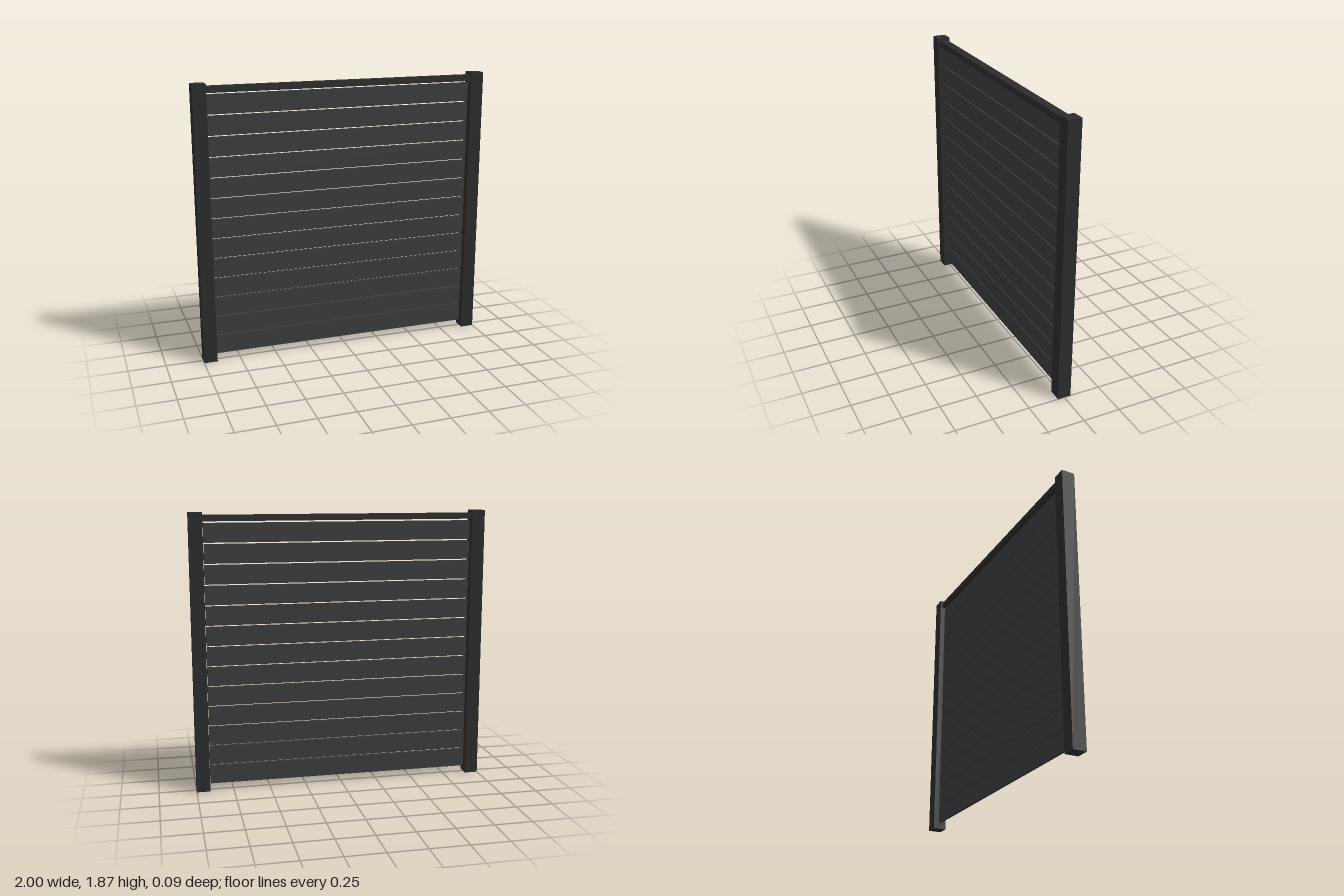
import * as THREE from 'three';

const postMaterial = new THREE.MeshStandardMaterial({ color: 0x2b2b2b });
const slatMaterial = new THREE.MeshStandardMaterial({ color: 0x3a3b3d });

// Box standing with its underside at height y
function box(name, w, h, d, x, y, material) {
  const mesh = new THREE.Mesh(new THREE.BoxGeometry(w, h, d), material);
  mesh.name = name;
  mesh.position.set(x, y + h / 2, 0);
  return mesh;
}

export function createModel() {
  const model = new THREE.Group();
  model.name = 'slattedFencePanel';

  // Square posts at both ends
  const postSize = 0.09;
  for (const [name, side] of [['leftPost', 1], ['rightPost', -1]]) {
    model.add(box(name, postSize, 1.87, postSize, side * (1 - postSize / 2), 0, postMaterial));
  }

  // Top rail between the posts
  model.add(box('topRail', 1.82, 0.04, 0.06, 0, 1.812, postMaterial));

  // Thin horizontal slats with narrow gaps
  const slats = new THREE.Group();
  slats.name = 'slats';
  for (let i = 0; i < 13; i++) {
    slats.add(box(`slat${i + 1}`, 1.81, 0.127, 0.02, 0, 0.044 + i * 0.1358, slatMaterial));
  }
  model.add(slats);

  return model;
}
